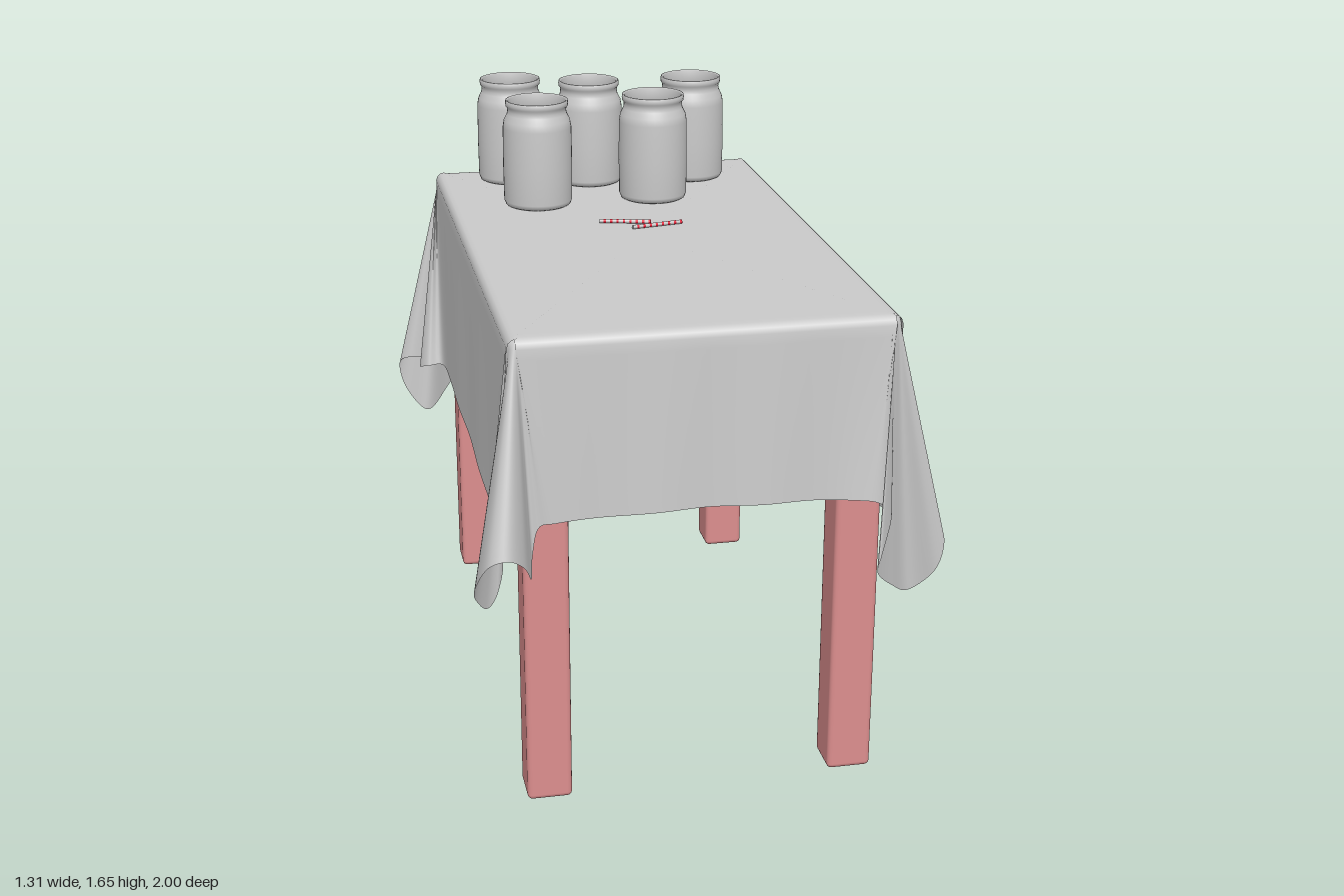
import * as THREE from 'three';
import { mergeGeometries } from 'three/addons/utils/BufferGeometryUtils.js';
import { RoundedBoxGeometry } from 'three/addons/geometries/RoundedBoxGeometry.js';

const TOP = 1.327, HX = 0.512, HZ = 0.85, CORNER = 0.035, EDGE = 0.025;

function material(name, color, side = THREE.FrontSide) {
  const m = new THREE.MeshStandardMaterial({ color, side });
  m.name = name;
  return m;
}

function addMesh(parent, name, geometry, mat) {
  const mesh = new THREE.Mesh(geometry, mat);
  mesh.name = name;
  parent.add(mesh);
  return mesh;
}

function seeded(seed) {
  return () => (seed = (seed * 16807) % 2147483647) / 2147483647;
}

// Hem of each corner fold, from the long side round to the short end:
// a small frill, a tuck towards the leg, the hanging lobe, and back
const longFold = [
  [0.525, 0.725, 0.70], [0.56, 0.72, 0.715], [0.565, 0.71, 0.75], [0.53, 0.70, 0.795],
  [0.545, 0.60, 0.775], [0.575, 0.57, 0.785], [0.61, 0.63, 0.84], [0.615, 0.70, 0.92],
  [0.59, 0.78, 0.985], [0.54, 0.80, 1.0], [0.495, 0.76, 0.96], [0.47, 0.70, 0.90],
  [0.462, 0.75, 0.87], [0.445, 0.825, 0.868], [0.40, 0.838, 0.875],
];
const wideFold = [
  [0.525, 0.725, 0.69], [0.575, 0.72, 0.705], [0.595, 0.705, 0.75], [0.55, 0.70, 0.785],
  [0.55, 0.71, 0.81], [0.62, 0.72, 0.805], [0.655, 0.69, 0.835], [0.635, 0.60, 0.84],
  [0.57, 0.53, 0.81], [0.50, 0.58, 0.87], [0.44, 0.65, 0.935], [0.45, 0.70, 0.935],
  [0.49, 0.79, 0.88], [0.45, 0.83, 0.895], [0.40, 0.84, 0.89],
];

// Matching rim and hem points around the cloth; the second half is the first turned by 180 degrees
function clothOutline() {
  const half = [];
  const corner = (fold, mirror) => {
    const pts = fold.map(([x, y, z], i) => {
      const a = (i / (fold.length - 1)) * Math.PI / 2;
      const n = [Math.cos(a), Math.sin(a)];
      return { rim: [mirror * (HX - CORNER + CORNER * n[0]), HZ - CORNER + CORNER * n[1]],
        n: [mirror * n[0], n[1]], hem: [mirror * x, y, z] };
    });
    half.push(...(mirror < 0 ? pts.reverse() : pts));
  };
  corner(wideFold, 1);
  for (const [x, z] of [[0.28, 0.868], [0.14, 0.88], [0, 0.867], [-0.14, 0.878], [-0.29, 0.868]])
    half.push({ rim: [x, HZ], n: [0, 1], hem: [x, 0.847 - 0.06 * x * x, z] });
  corner(longFold, -1);
  for (const [z, x] of [[0.5, 0.52], [0.25, 0.524], [0, 0.52], [-0.25, 0.524], [-0.5, 0.52]])
    half.push({ rim: [-HX, z], n: [-1, 0], hem: [-x, 0.745 - 0.05 * z * z, z] });
  const turned = half.map(({ rim, n, hem }) => ({
    rim: rim.map(v => -v), n: n.map(v => -v), hem: [-hem[0], hem[1], -hem[2]] }));
  return [...half, ...turned];
}

function clothGeometry() {
  const outline = clothOutline();
  const curve = f => new THREE.CatmullRomCurve3(outline.map(f), true, 'catmullrom', 0.5);
  const ring = (inset, y) => curve(({ rim, n }) =>
    new THREE.Vector3(rim[0] - n[0] * inset, y, rim[1] - n[1] * inset));
  const columns = outline.length * 7, down = 16;
  const hem = curve(p => new THREE.Vector3(...p.hem));
  const inner = ring(EDGE, TOP), outer = ring(0, TOP - EDGE);
  const bevels = [0.3, 0.6].map(k => {
    const a = k * Math.PI / 2;
    return ring(EDGE * (1 - Math.sin(a)), TOP - EDGE * (1 - Math.cos(a)));
  });
  const rows = [];
  const sample = f => rows.push(Array.from({ length: columns }, (_, i) => f(i / columns)));
  // flat top, rounded edge, then the hanging skirt
  for (const s of [0, 0.6, 0.97]) sample(t => inner.getPoint(t).multiply(new THREE.Vector3(s, 1, s)));
  for (const c of [inner, ...bevels, outer]) sample(t => c.getPoint(t));
  for (let j = 1; j <= down; j++) sample(t => outer.getPoint(t).lerp(hem.getPoint(t), j / down));

  const index = [];
  for (let r = 0; r < rows.length - 1; r++) for (let c = 0; c < columns; c++) {
    const d = (c + 1) % columns;
    const a = r * columns + c, b = a + columns, e = r * columns + d, f = e + columns;
    if (r > 0) index.push(a, e, b);
    index.push(e, f, b);
  }
  const g = new THREE.BufferGeometry().setFromPoints(rows.flat());
  g.setIndex(index);
  g.computeVertexNormals();
  return g;
}

// Hollow jar with rounded shoulder and a slim rim
function jarGeometry() {
  const profile = [[0, 0], [0.088, 0], [0.098, 0.005], [0.103, 0.018], [0.104, 0.12], [0.103, 0.24], [0.099, 0.262],
    [0.09, 0.28], [0.088, 0.29], [0.089, 0.3], [0.093, 0.304], [0.094, 0.312], [0.093, 0.321], [0.09, 0.322],
    [0.085, 0.318], [0.083, 0.285], [0.094, 0.258], [0.098, 0.235], [0.098, 0.02], [0.092, 0.01], [0, 0.01]];
  return new THREE.LatheGeometry(profile.map(p => new THREE.Vector2(...p)), 40);
}

// Sweets piled in layers up to the given height
function sweetsGeometry(piece, size, height, seed) {
  const rand = seeded(seed), parts = [];
  for (let y = 0.012 + size; y <= height; y += size * 1.4) {
    for (const [radius, count] of [[0.024, 2], [0.066, 7]]) {
      const twist = rand() * 6.28;
      for (let i = 0; i < count; i++) {
        const a = twist + (i / count) * Math.PI * 2;
        const g = piece.clone();
        g.rotateX(rand() * 6.28).rotateY(rand() * 6.28);
        g.translate(radius * Math.cos(a), y + (rand() - 0.5) * size * 0.8, radius * Math.sin(a));
        parts.push(g);
      }
    }
  }
  return mergeGeometries(parts);
}

export function createModel() {
  const model = new THREE.Group();
  model.name = 'tableWithSweetJars';
  const grey = material('pale grey', 0xcacaca, THREE.DoubleSide);
  const wood = material('rose wood', 0xdc8e8e);
  const lime = material('lime sweets', 0xccda10);
  const orange = material('orange sweets', 0xe88a14);
  const red = material('red sweets', 0xe4102e);
  const blue = material('blue sweets', 0x54c4e2);

  // Table
  const table = new THREE.Group();
  table.name = 'table';
  model.add(table);
  const board = addMesh(table, 'tableTop', new THREE.BoxGeometry(0.99, 0.08, 1.67), wood);
  board.position.y = 1.27;
  const legGeometry = new RoundedBoxGeometry(0.122, 1.225, 0.122, 2, 0.014);
  for (const sx of [-1, 1]) for (const sz of [-1, 1]) {
    const leg = addMesh(table, 'leg', legGeometry, wood);
    leg.position.set(sx * 0.419, 0.6125, sz * 0.757);
  }
  addMesh(model, 'tablecloth', clothGeometry(), grey);

  // Jars of sweets
  const ball = new THREE.SphereGeometry(0.029, 12, 8);
  const lump = new THREE.IcosahedronGeometry(0.031, 1);
  const chunk = new THREE.BoxGeometry(0.042, 0.036, 0.03);
  const shard = new THREE.OctahedronGeometry(0.036).scale(1, 0.75, 0.9);
  const jarShape = jarGeometry();
  const jars = [
    [-0.282, -0.725, lime, ball, 0.2], [-0.045, -0.652, orange, lump, 0.265], [0.28, -0.652, red, chunk, 0.2],
    [-0.245, -0.405, blue, shard, 0.2], [0.112, -0.418, lime, ball, 0.2],
  ];
  jars.forEach(([x, z, mat, piece, height], i) => {
    const group = new THREE.Group();
    group.name = 'sweetJar';
    group.position.set(x, TOP, z);
    addMesh(group, 'jar', jarShape, grey);
    addMesh(group, 'sweets', sweetsGeometry(piece, 0.027, height, 101 + i * 37), mat);
    model.add(group);
  });

  // Two candy sticks with narrow red stripes lying on the cloth
  const stripes = 8;
  for (const [x1, z1, x2, z2] of [[-0.1, -0.158, 0.046, -0.12], [-0.017, -0.073, 0.135, -0.104]]) {
    const stick = new THREE.Group();
    stick.name = 'candyStick';
    const length = Math.hypot(x2 - x1, z2 - z1), pitch = length / stripes;
    const stripe = (share) => new THREE.CylinderGeometry(0.006, 0.006, pitch * share, 12).rotateZ(Math.PI / 2);
    for (let i = 0; i < stripes; i++) {
      const start = i * pitch - length / 2;
      addMesh(stick, 'paleStripe', stripe(0.65), grey).position.x = start + pitch * 0.325;
      addMesh(stick, 'redStripe', stripe(0.35), red).position.x = start + pitch * 0.825;
    }
    stick.position.set((x1 + x2) / 2, TOP + 0.006, (z1 + z2) / 2);
    stick.rotation.y = -Math.atan2(z2 - z1, x2 - x1);
    model.add(stick);
  }
  return model;
}
